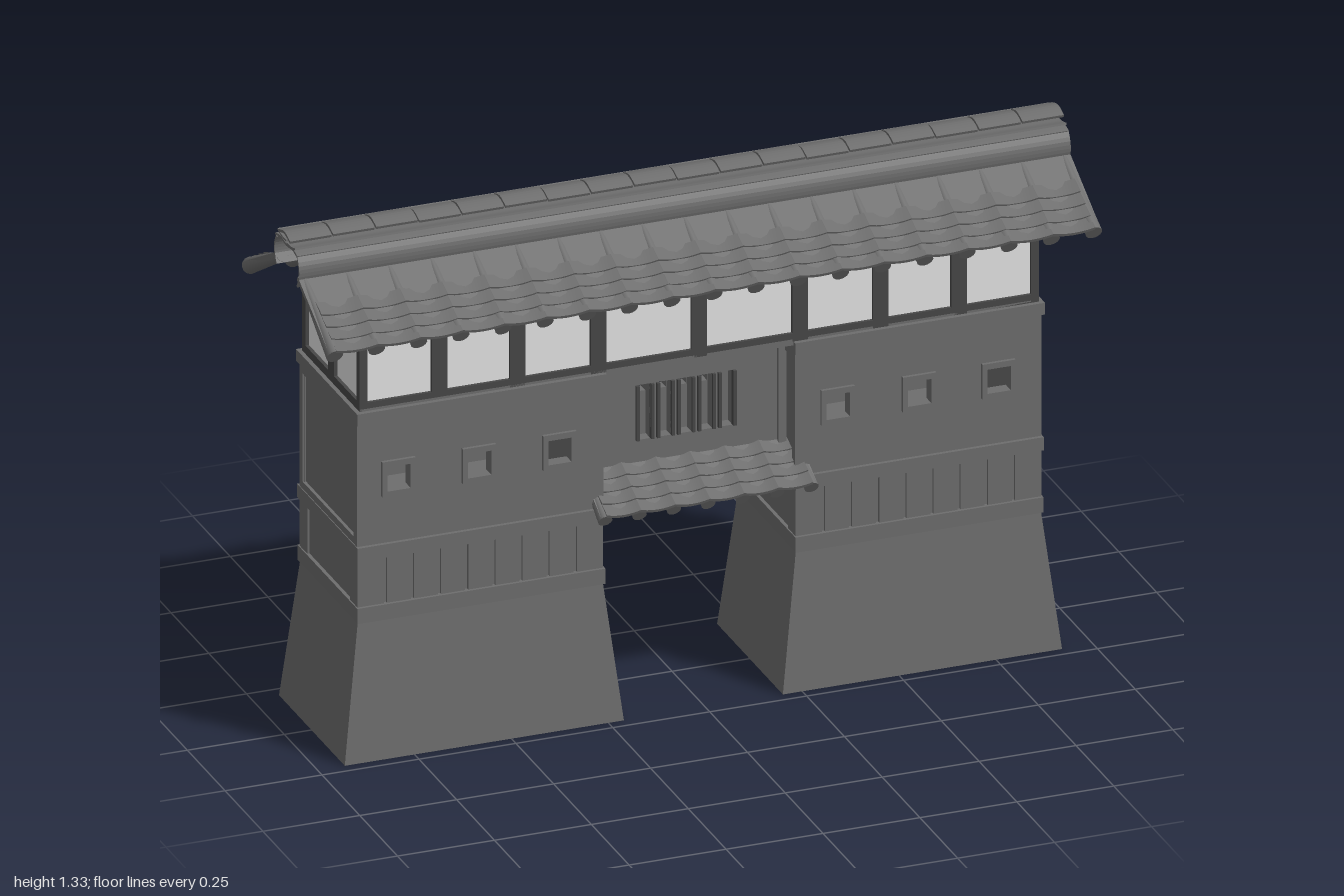
import * as THREE from 'three';
import { mergeGeometries } from 'three/addons/utils/BufferGeometryUtils.js';

const mat = (name, color, side = THREE.FrontSide) => {
  const m = new THREE.MeshStandardMaterial({ color, side });
  m.name = name;
  return m;
};

export function createModel() {
  const grey = mat('stone grey', 0x6e6e6e, THREE.DoubleSide);
  const dark = mat('dark timber', 0x484848);
  const pale = mat('pale plaster', 0xe6e6e6);

  const root = new THREE.Group();
  root.name = 'gatehouse';
  const body = new THREE.Group();
  body.name = 'body';
  body.position.set(-0.005, 0, 0.003);
  root.add(body);

  const add = (parent, name, geo, material) => {
    const m = new THREE.Mesh(geo, material);
    m.name = name;
    parent.add(m);
    return m;
  };
  // Box given by its extents
  const span = (x0, x1, y0, y1, z0, z1) =>
    new THREE.BoxGeometry(x1 - x0, y1 - y0, z1 - z0)
      .translate((x0 + x1) / 2, (y0 + y1) / 2, (z0 + z1) / 2);
  const rect = (path, x0, x1, y0, y1) =>
    path.moveTo(x0, y0).lineTo(x1, y0).lineTo(x1, y1).lineTo(x0, y1).closePath();
  // Flat wall with rectangular openings, outer face at z
  const holedWall = (x0, x1, y0, y1, holes, depth, z) => {
    const s = rect(new THREE.Shape(), x0, x1, y0, y1);
    holes.forEach(h => s.holes.push(rect(new THREE.Path(), ...h)));
    return new THREE.ExtrudeGeometry(s, { depth, bevelEnabled: false }).translate(0, 0, z - depth);
  };

  // Tower bases, plank courses, bands and end walls
  for (const side of [-1, 1]) {
    const tower = new THREE.Group();
    tower.name = side < 0 ? 'rightTower' : 'leftTower';
    tower.position.x = side * 0.565;
    body.add(tower);

    const base = new THREE.BoxGeometry(0.72, 0.37, 0.436).translate(0, 0.185, 0);
    const p = base.attributes.position;
    for (let i = 0; i < p.count; i++) {
      if (p.getY(i) > 0.1) p.setXYZ(i, p.getX(i) * 0.875, 0.37, p.getZ(i) * 0.872);
    }
    base.computeVertexNormals();
    add(tower, 'base', base, grey);

    add(tower, 'lowerBand', span(-0.32, 0.32, 0.36, 0.4, -0.199, 0.199), grey);
    add(tower, 'plankCore', span(-0.311, 0.311, 0.4, 0.525, -0.184, 0.184), grey);
    add(tower, 'middleBand', span(-0.32, 0.32, 0.525, 0.56, -0.201, 0.201), grey);
    add(tower, 'upperBand', span(-0.322, 0.322, 0.885, 0.916, -0.203, 0.203), grey);

    const planks = [];
    for (let i = 0; i < 9; i++) {
      const x = -0.28 + i * 0.07;
      for (const z of [-0.187, 0.187])
        planks.push(span(x - 0.031, x + 0.031, 0.4, 0.525, z - 0.004, z + 0.004));
    }
    for (const x of [-0.312, 0.312]) for (const z of [-0.166, 0.166])
      planks.push(span(x - 0.005, x + 0.005, 0.4, 0.525, z - 0.025, z + 0.025));
    add(tower, 'planks', mergeGeometries(planks), grey);

    // End walls with a raised border
    const ends = [];
    for (const x of [-0.3, 0.3]) {
      const o = x + Math.sign(x) * 0.013;
      ends.push(span(x - 0.01, x + 0.01, 0.56, 0.885, -0.18, 0.18));
      for (const z of [-0.18, 0.18]) ends.push(span(o - 0.005, o + 0.005, 0.56, 0.885, z - 0.011, z + 0.011));
      for (const y of [0.569, 0.875]) ends.push(span(o - 0.005, o + 0.005, y - 0.01, y + 0.01, -0.17, 0.17));
    }
    add(tower, 'endWalls', mergeGeometries(ends), grey);
  }

  // Front and back walls share one design, turned half round
  const windows = [-0.778, -0.57, -0.363, 0.355, 0.565, 0.77];
  const slots = [0, 1, 2, 3, 4].map(i => -0.112 + i * 0.053);
  for (const turn of [0, Math.PI]) {
    const face = new THREE.Group();
    face.name = turn ? 'backFace' : 'frontFace';
    face.rotation.y = turn;
    body.add(face);

    for (const side of [-1, 1]) {
      const holes = windows.filter(x => x * side > 0).map(x => [x - 0.03, x + 0.03, 0.698, 0.762]);
      const [a, b] = side < 0 ? [-0.88, -0.25] : [0.25, 0.88];
      add(face, 'towerWall', holedWall(a, b, 0.56, 0.885, holes, 0.025, 0.191), grey);
    }
    windows.forEach(x => add(face, 'windowFrame',
      holedWall(x - 0.043, x + 0.043, 0.685, 0.777, [[x - 0.03, x + 0.03, 0.698, 0.762]], 0.018, 0.2), grey));

    // Recessed wall above the gate with slotted grille and border
    add(face, 'gateWall', holedWall(-0.25, 0.25, 0.55, 0.916,
      slots.map(x => [x - 0.015, x + 0.015, turn ? 0.715 : 0.685, 0.83]), 0.03, 0.115), grey);
    add(face, 'gateBorder', holedWall(-0.25, 0.25, 0.56, 0.916, [[-0.23, 0.23, 0.59, 0.9]], 0.01, 0.125), grey);
    slots.forEach(x => [-0.019, 0.019].forEach(d =>
      add(face, 'grilleBar', span(x + d - 0.004, x + d + 0.004, 0.685, 0.83, 0.11, 0.123), dark)));

    // Gallery posts
    const posts = [[-0.875, -0.857]];
    const cuts = [-0.67, -0.468, -0.26, 0, 0.26, 0.468, 0.67];
    cuts.forEach(x => posts.push([x - 0.02, x + 0.02]));
    posts.push([0.857, 0.875]);
    add(face, 'galleryPosts',
      mergeGeometries(posts.map(([a, b]) => span(a, b, 0.916, 1.122, 0.17, 0.191))), dark);
  }
  add(body, 'gateSoffit', span(-0.25, 0.25, 0.545, 0.565, -0.115, 0.115), grey);
  add(body, 'galleryFloor', span(-0.875, 0.875, 0.906, 0.922, -0.191, 0.191), grey);

  // Gallery plaster, rails and end posts
  add(body, 'galleryPlaster', span(-0.867, 0.867, 0.92, 1.118, -0.183, 0.183), pale);
  const rails = [];
  for (const [y0, y1] of [[0.916, 0.938], [1.107, 1.125]]) {
    for (const s of [-1, 1]) {
      rails.push(span(-0.875, 0.875, y0, y1, s * 0.181 - 0.01, s * 0.181 + 0.01));
      rails.push(span(s * 0.866 - 0.01, s * 0.866 + 0.01, y0, y1, -0.191, 0.191));
    }
  }
  for (const s of [-1, 1]) for (const [z, w] of [[-0.18, 0.011], [0, 0.02], [0.18, 0.011]])
    rails.push(span(s * 0.866 - 0.01, s * 0.866 + 0.01, 0.92, 1.12, z - w, z + w));
  add(body, 'galleryRails', mergeGeometries(rails), dark);

  // Plaster gable under the roof
  const gable = new THREE.Shape([[-0.187, 1.122], [0.187, 1.122], [0.06, 1.215], [0.04, 1.237], [-0.04, 1.237], [-0.06, 1.215]]
    .map(([x, y]) => new THREE.Vector2(x, y)));
  add(body, 'gable', new THREE.ExtrudeGeometry(gable, { depth: 1.74, bevelEnabled: false })
    .rotateY(Math.PI / 2).translate(-0.87, 0, 0), pale);

  // Tiled slope: slab, tapered round ribs and overlapping sagging pans
  const slope = (name, half, ribs, len, y, z, r, panLen) => {
    const pitch = (2 * half - 2 * r) / (ribs - 1);
    const ribGeo = [], panGeo = [];
    const rows = 4, step = panLen / rows;
    for (let i = 0; i < ribs; i++) {
      const x = -half + r + i * pitch;
      ribGeo.push(new THREE.CylinderGeometry(r * 0.6, r, len, 12).rotateX(Math.PI / 2)
        .rotateX(Math.PI).rotateZ(Math.PI).rotateY(Math.PI).rotateX(Math.PI)
        .scale(1, 1, 1).translate(x, 0, len / 2));
      if (i === ribs - 1) continue;
      for (let j = 0; j < rows; j++) {
        const pan = new THREE.BoxGeometry(pitch, 0.008, step * 1.15, 6, 1, 1);
        const p = pan.attributes.position;
        for (let k = 0; k < p.count; k++) {
          const u = p.getX(k) / (pitch / 2);
          p.setY(k, p.getY(k) + 0.008 * (u * u - 1));
        }
        pan.computeVertexNormals();
        panGeo.push(pan.rotateX(-0.12)
          .translate(x + pitch / 2, 0.016, len - panLen + (j + 0.5) * step - 0.002));
      }
    }
    for (const turn of [0, Math.PI]) {
      const g = new THREE.Group();
      g.name = name + (turn ? 'Back' : 'Front');
      g.rotation.y = turn;
      root.add(g);
      const s = new THREE.Group();
      s.name = 'slope';
      s.position.set(0, y, z);
      s.rotation.x = 0.5;
      g.add(s);
      add(s, 'slab', span(-half + 0.005, half - 0.005, 0, 0.012, 0, len - 0.008), grey);
      add(s, 'ribs', mergeGeometries(ribGeo), grey);
      add(s, 'pans', mergeGeometries(panGeo), grey);
    }
  };
  slope('mainRoof', 1, 19, 0.24, 1.232, 0.07, 0.021, 0.15);
  slope('gateRoof', 0.284, 7, 0.17, 0.627, 0.093, 0.018, 0.15);

  // Thin curved strip swept along the ridge
  const strip = (pts, t, x0, x1) => {
    const c = new THREE.SplineCurve(pts.map(([a, b]) => new THREE.Vector2(a, b))).getPoints(10);
    const outline = [...c, ...c.map((p, i) => {
      const d = c[Math.min(i + 1, 10)].clone().sub(c[Math.max(i - 1, 0)]).normalize();
      return new THREE.Vector2(p.x - d.y * t, p.y + d.x * t);
    }).reverse()];
    return new THREE.ExtrudeGeometry(new THREE.Shape(outline), { depth: x1 - x0, bevelEnabled: false })
      .rotateY(Math.PI / 2).translate(x0, 0, 0);
  };
  const sides = [-1, 1].map(s =>
    strip([[s * 0.068, 1.215], [s * 0.08, 1.24], [s * 0.08, 1.268], [s * 0.068, 1.292]], 0.005, -0.995, 0.995));
  add(root, 'ridgeSides', mergeGeometries(sides), grey);
  add(root, 'ridgeBed', strip([[-0.072, 1.29], [-0.04, 1.297], [0, 1.292], [0.04, 1.297], [0.072, 1.29]], 0.006, -0.995, 0.995), grey);
  const wings = [-1, 1].map(s =>
    strip([[s * 0.002, 1.302], [s * 0.03, 1.303], [s * 0.058, 1.31]], 0.005, -0.995, 0.995));
  add(root, 'ridgeWings', mergeGeometries(wings), grey);
  const caps = [];
  for (let i = 0; i < 18; i++) {
    const x = -1 + i / 9, lift = (i % 3) * 0.001;
    caps.push(strip([[-0.037, 1.314 + lift], [0, 1.324 + lift], [0.037, 1.314 + lift]], 0.007, x, x + 0.107));
  }
  add(root, 'ridgeCaps', mergeGeometries(caps), grey);

  return root;
}
